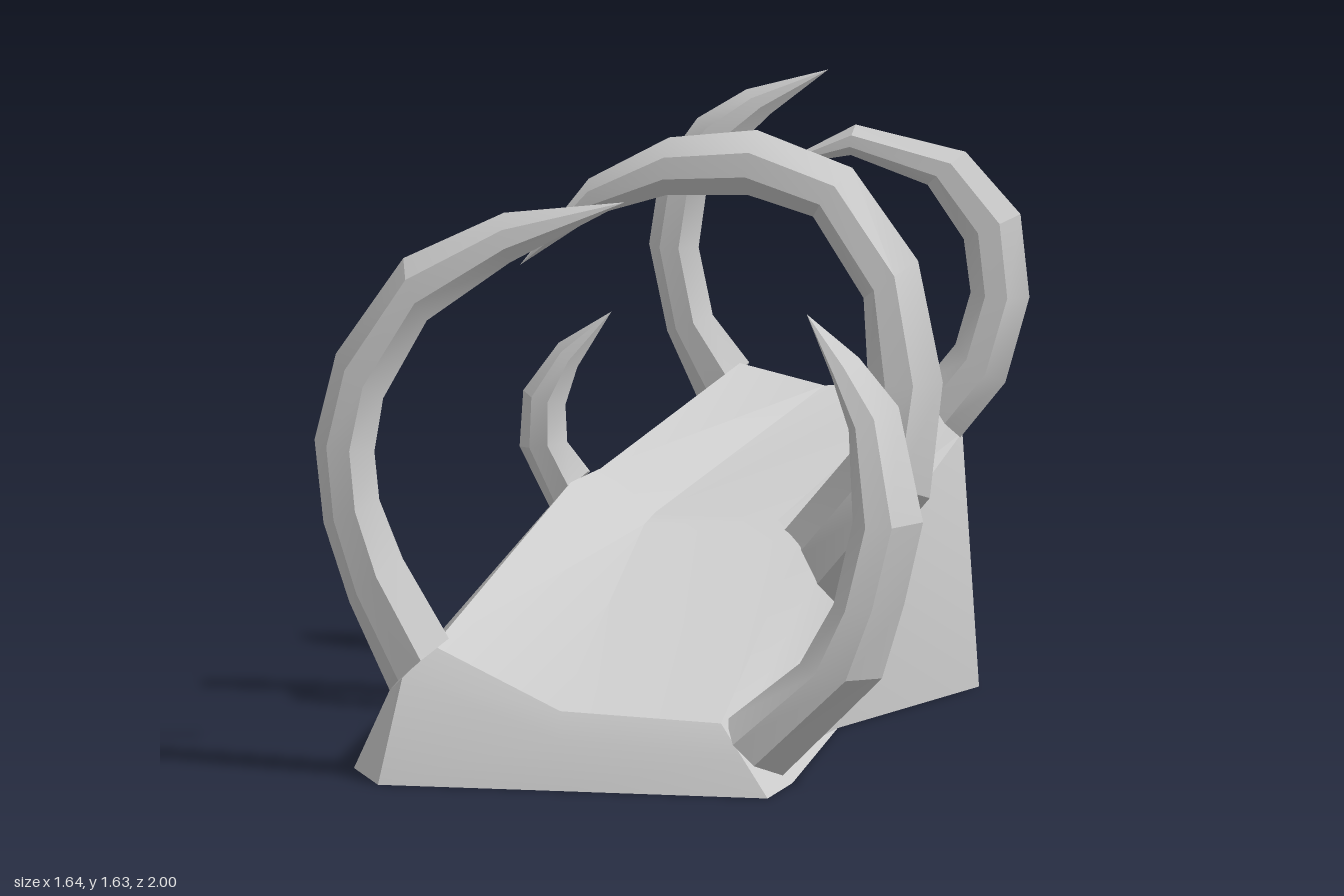
import * as THREE from 'three';
import { toCreasedNormals } from 'three/addons/utils/BufferGeometryUtils.js';

const material = new THREE.MeshStandardMaterial({ color: 0xcccccc, side: THREE.DoubleSide });

// Skins a grid of points (rows of equal length), skipping collapsed triangles.
function skin(name, rows) {
  const pos = [];
  const tri = (...pts) => {
    const [a, b, c] = pts.map((p) => new THREE.Vector3(...p));
    if (b.sub(a).cross(c.sub(a)).length() > 1e-6) pts.forEach((p) => pos.push(...p));
  };
  for (let r = 0; r < rows.length - 1; r++) {
    for (let c = 0; c < rows[r].length - 1; c++) {
      const a = rows[r][c], b = rows[r][c + 1];
      const d = rows[r + 1][c + 1], e = rows[r + 1][c];
      tri(a, b, d);
      tri(a, d, e);
    }
  }
  const geometry = new THREE.BufferGeometry();
  geometry.setAttribute('position', new THREE.Float32BufferAttribute(pos, 3));
  const mesh = new THREE.Mesh(toCreasedNormals(geometry, 0.4), material);
  mesh.name = name;
  return mesh;
}

// Claw section: [fraction from outer to inner edge, fraction from back to front]
const SECTION = [[0, 0.25], [0.3, 0.92], [0.68, 1], [1, 0.5], [0.9, 0], [0.1, 0]];

// Tapering claw; each ring is [outer x, outer y, inner x, inner y, back z, front z].
function claw(name, rings, tip) {
  const lerp = THREE.MathUtils.lerp;
  const section = [...SECTION, SECTION[0]];
  if (rings[0][0] > rings[0][2]) section.reverse();
  const rows = rings.map(([ox, oy, ix, iy, back, front]) =>
    section.map(([u, v]) => [lerp(ox, ix, u), lerp(oy, iy, u), lerp(back, front, v)]));
  rows.push(section.map(() => tip));
  return skin(name, rows);
}

// Bent ramp, open underneath: each row runs from left ground over the deck to right ground.
function ramp() {
  const fl = [-0.6, 0, 1], fr = [0.45, 0, 0.96];
  const bl = [-0.53, 0, -0.93], br = [0.53, 0, -0.95];
  const sideL = [-0.73, 0, 0.75], sideR = [0.45, 0, 0.7];
  const midL = [-0.76, 0, -0.2], midR = [0.34, 0, -0.2];
  const wallL = [-0.62, 0.22, 0.8];
  const backL = [-0.21, 0.72, -0.93], backR = [0.49, 0.68, -0.93];
  return skin('ramp', [
    // front edge on the ground, then the front lip
    [fl, fl, fl, [-0.12, 0, 0.98], fr, fr, fr, fr],
    [sideL, wallL, [-0.56, 0.27, 0.9], [-0.12, 0.13, 0.94], [0.37, 0.1, 0.92], [0.38, 0.09, 0.9], [0.41, 0.06, 0.88], sideR],
    // deck: front, ahead of and behind the middle claws, back
    [sideL, wallL, [-0.49, 0.35, 0.84], [-0.13, 0.2, 0.9], [0.3, 0.18, 0.87], [0.34, 0.13, 0.85], [0.4, 0.06, 0.84], sideR],
    [midL, [-0.43, 0.56, -0.08], [-0.35, 0.65, -0.06], [-0.16, 0.54, -0.1],
      [0.27, 0.51, -0.06], [0.31, 0.43, -0.1], [0.35, 0.33, -0.18], midR],
    [midL, [-0.41, 0.57, -0.2], [-0.3, 0.67, -0.18], [-0.15, 0.56, -0.18],
      [0.18, 0.55, -0.19], [0.25, 0.46, -0.2], [0.34, 0.34, -0.22], midR],
    [bl, backL, [-0.1, 0.85, -0.87], [0.13, 0.8, -0.87], [0.42, 0.82, -0.87], [0.45, 0.75, -0.9], backR, br],
    // back lip and back wall
    [bl, backL, [-0.11, 0.82, -0.92], [0.13, 0.78, -0.92], [0.42, 0.79, -0.92], [0.45, 0.74, -0.93], backR, br],
    [bl, bl, bl, [0.1, 0, -1], br, br, br, br],
  ]);
}

export function createModel() {
  const model = new THREE.Group();
  model.name = 'clawedRamp';
  model.add(
    ramp(),
    claw('frontRightSideClaw', [
      [-0.62, 0.22, -0.45, 0.37, 0.76, 0.92],
      [-0.73, 0.45, -0.58, 0.58, 0.76, 0.91],
      [-0.8, 0.66, -0.64, 0.73, 0.77, 0.89],
      [-0.825, 0.88, -0.655, 0.86, 0.77, 0.88],
      [-0.77, 1.11, -0.635, 1.0, 0.76, 0.86],
      [-0.59, 1.37, -0.52, 1.21, 0.75, 0.84],
      [-0.32, 1.5, -0.3, 1.37, 0.74, 0.81],
    ], [0, 1.535, 0.72]),
    claw('frontLeftSideClaw', [
      [0.44, 0.03, 0.3, 0.18, 0.71, 0.92],
      [0.71, 0.3, 0.5, 0.34, 0.71, 0.92],
      [0.77, 0.5, 0.59, 0.5, 0.71, 0.91],
      [0.82, 0.72, 0.64, 0.72, 0.71, 0.89],
      [0.745, 1.02, 0.62, 0.96, 0.68, 0.85],
      [0.64, 1.15, 0.575, 1.1, 0.71, 0.83],
    ], [0.515, 1.27, 0.8]),
    claw('middleRightSideClaw', [
      [-0.43, 0.56, -0.32, 0.67, -0.19, -0.06],
      [-0.505, 0.73, -0.37, 0.75, -0.14, -0.06],
      [-0.495, 0.88, -0.375, 0.85, -0.14, -0.06],
      [-0.4, 1.01, -0.345, 0.95, -0.14, -0.08],
    ], [-0.255, 1.1, -0.12]),
    claw('middleLeftSideClaw', [
      [0.33, 0.31, 0.2, 0.52, -0.21, -0.07],
      [0.615, 0.64, 0.41, 0.76, -0.14, 0],
      [0.65, 0.95, 0.455, 0.95, -0.14, -0.01],
      [0.58, 1.27, 0.44, 1.17, -0.15, -0.02],
      [0.4, 1.51, 0.3, 1.38, -0.15, -0.04],
      [0.14, 1.6, 0.12, 1.43, -0.15, -0.05],
      [-0.1, 1.57, -0.1, 1.42, -0.15, -0.06],
      [-0.32, 1.45, -0.29, 1.36, -0.15, -0.08],
    ], [-0.51, 1.21, -0.14]),
    claw('backRightSideClaw', [
      [-0.22, 0.73, -0.08, 0.85, -0.94, -0.84],
      [-0.31, 0.92, -0.18, 0.97, -0.94, -0.85],
      [-0.36, 1.15, -0.22, 1.15, -0.94, -0.86],
      [-0.33, 1.35, -0.2, 1.3, -0.94, -0.87],
      [-0.23, 1.49, -0.12, 1.42, -0.94, -0.88],
      [-0.1, 1.57, -0.03, 1.51, -0.95, -0.9],
    ], [0.12, 1.63, -0.95]),
    claw('backLeftSideClaw', [
      [0.49, 0.67, 0.4, 0.82, -0.93, -0.84],
      [0.61, 0.82, 0.48, 0.92, -0.94, -0.85],
      [0.675, 1.05, 0.52, 1.06, -0.94, -0.86],
      [0.65, 1.27, 0.5, 1.2, -0.94, -0.87],
      [0.5, 1.43, 0.4, 1.34, -0.94, -0.88],
      [0.2, 1.49, 0.19, 1.41, -0.94, -0.89],
    ], [-0.03, 1.365, -0.94]),
  );
  return model;
}
